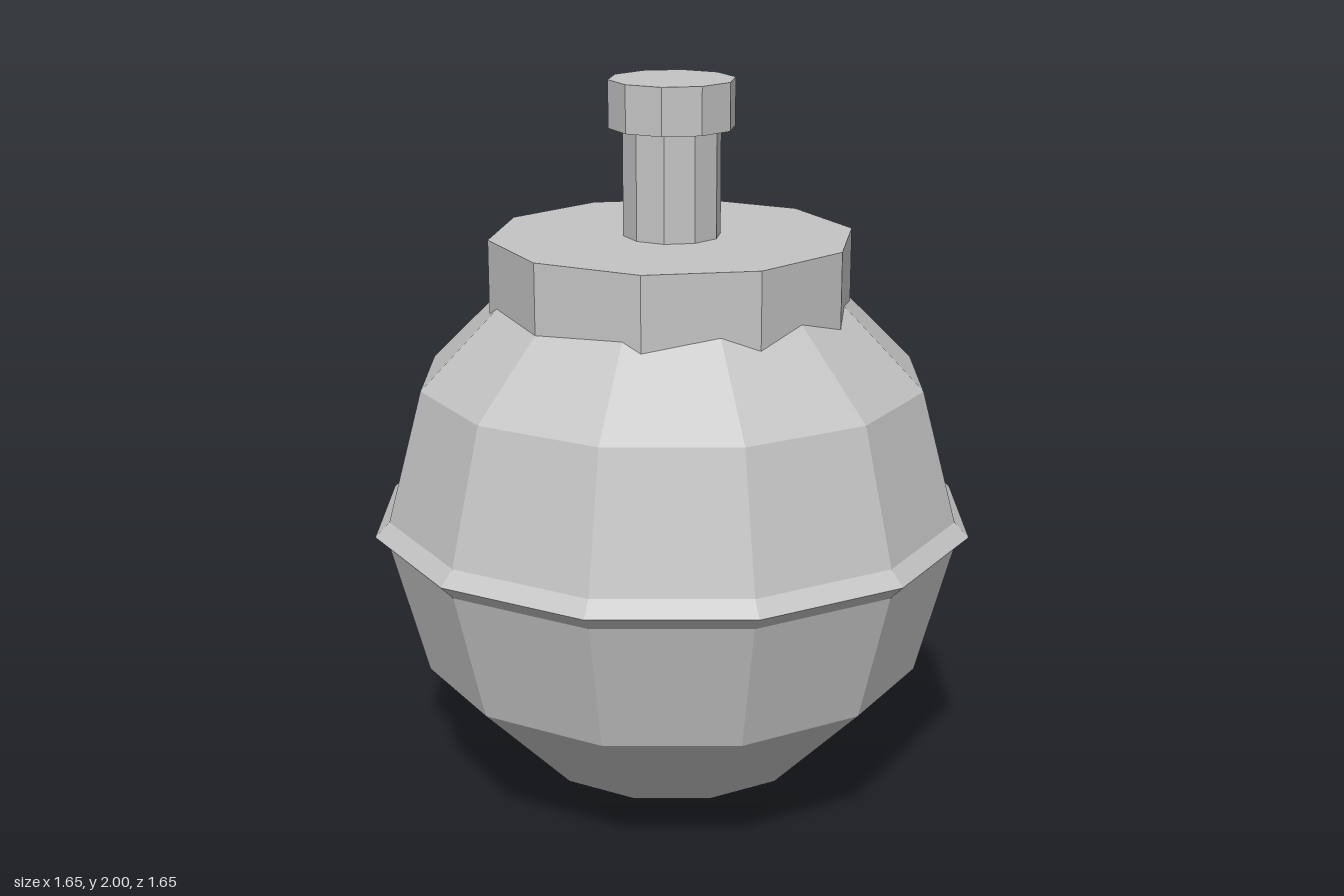
import * as THREE from 'three';

export function createModel() {
  const model = new THREE.Group();
  model.name = 'roundBomb';

  const metal = new THREE.MeshStandardMaterial({ color: 0xc4c4c4, flatShading: true });
  metal.name = 'light grey metal';

  const add = (name, geometry, y) => {
    const mesh = new THREE.Mesh(geometry, metal);
    mesh.name = name;
    mesh.position.y = y;
    model.add(mesh);
  };
  // ten-sided upright prism between two heights
  const prism = (name, radius, bottom, top) =>
    add(name, new THREE.CylinderGeometry(radius, radius, top - bottom, 10), (bottom + top) / 2);

  // faceted ball with a diamond-section band round its middle
  add('body', new THREE.SphereGeometry(0.797, 12, 6), 0.8);
  add('seamBand', new THREE.TorusGeometry(0.777, 0.049, 4, 12).rotateX(Math.PI / 2), 0.8);

  // collar, stem and knob stacked on top
  prism('collar', 0.493, 1.36, 1.585);
  prism('stem', 0.132, 1.57, 1.88);
  prism('knob', 0.17, 1.873, 2);

  return model;
}
